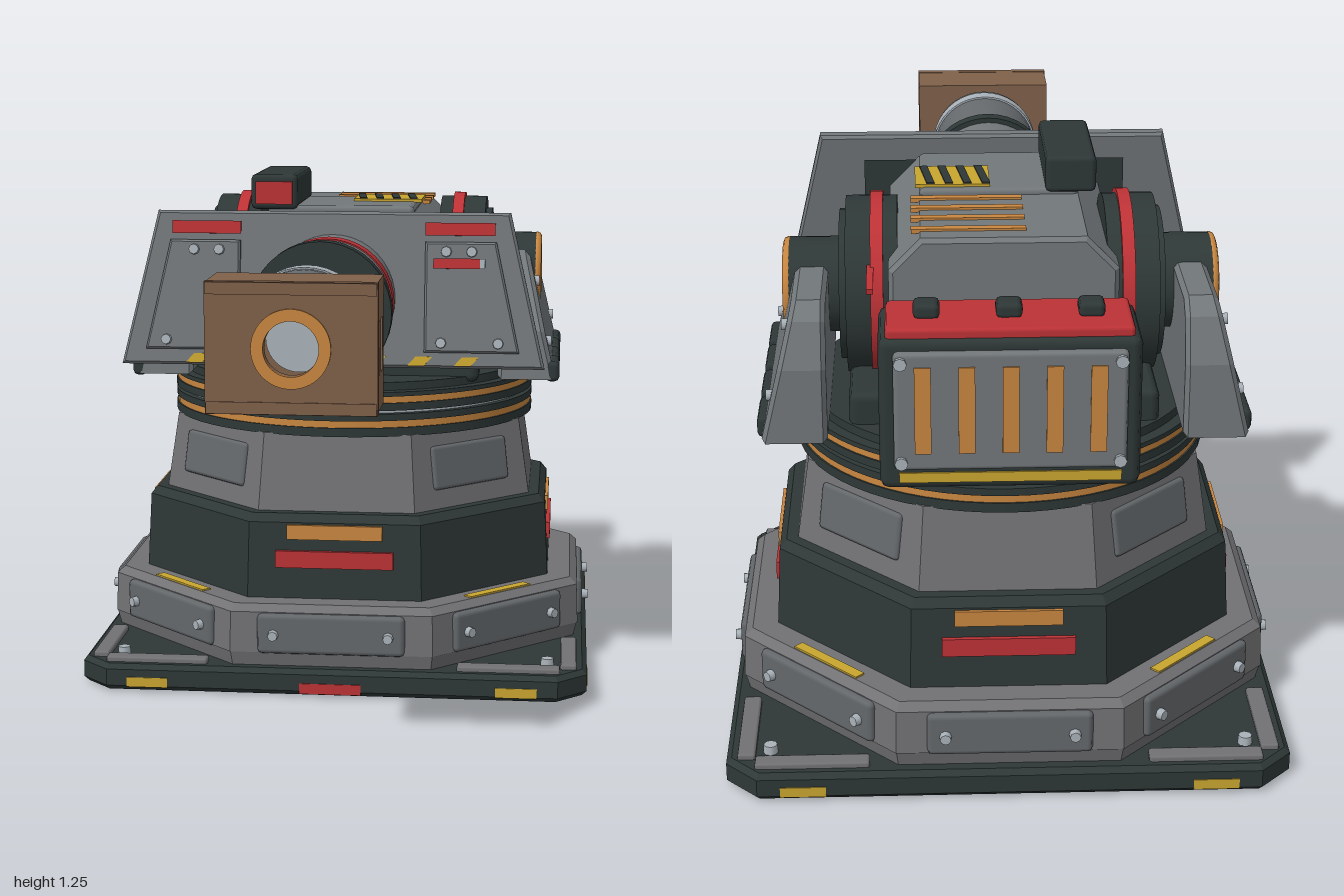
import * as THREE from 'three';
import { RoundedBoxGeometry } from 'three/addons/geometries/RoundedBoxGeometry.js';

const paint = (name, color) => Object.assign(new THREE.MeshStandardMaterial({ color }), { name });
const M = {
  grey: paint('armour grey', 0x73787b), stone: paint('base grey', 0x727275), panel: paint('panel grey', 0x64686b),
  dark: paint('dark green grey', 0x2e3837), red: paint('signal red', 0xbd3236), orange: paint('copper orange', 0xc98740),
  yellow: paint('hazard yellow', 0xcaa630), brown: paint('muzzle brown', 0x80614a), steel: paint('bright steel', 0xaab3ba),
};
const CZ = -0.375; // centre of the pedestal
const AXIS = 0.965; // height of the barrel and trunnions

function add(parent, name, geo, mat, x = 0, y = 0, z = 0) {
  const m = new THREE.Mesh(geo, mat);
  m.name = name;
  m.position.set(x, y, z);
  parent.add(m);
  return m;
}
function flat(geo) {
  const g = geo.index ? geo.toNonIndexed() : geo;
  g.computeVertexNormals();
  return g;
}
const box = (p, name, mat, w, h, d, x, y, z) => add(p, name, new THREE.BoxGeometry(w, h, d), mat, x, y, z);
const softBox = (p, name, mat, w, h, d, x, y, z, r = 0.012) =>
  add(p, name, new RoundedBoxGeometry(w, h, d, 1, r), mat, x, y, z);
const shape = pts => new THREE.Shape(pts.map(([x, y]) => new THREE.Vector2(x, y)));
function extrude(s, depth, bevel = 0) {
  return new THREE.ExtrudeGeometry(s, { depth: depth - 2 * bevel, bevelEnabled: bevel > 0, bevelSize: bevel,
    bevelThickness: bevel, bevelOffset: -bevel, bevelSegments: 1, curveSegments: 24 }).translate(0, 0, bevel);
}
// profile drawn in (z, y), extruded from x0 to x1
const sideExtrude = (s, x0, x1, bevel = 0) => extrude(s, x1 - x0, bevel).rotateY(-Math.PI / 2).translate(x1, 0, 0);
const ring = (ro, ri) => {
  const s = new THREE.Shape().absarc(0, 0, ro, 0, Math.PI * 2);
  s.holes.push(new THREE.Path().absarc(0, 0, ri, 0, Math.PI * 2, true));
  return s;
};
// round parts along z and x
const alongZ = (p, name, mat, z0, z1, r0, r1 = r0, n = 40) => add(p, name,
  new THREE.CylinderGeometry(r1, r0, z1 - z0, n).rotateX(Math.PI / 2), mat, 0, AXIS, (z0 + z1) / 2);
const alongX = (p, name, mat, x0, x1, r) => add(p, name,
  new THREE.CylinderGeometry(r, r, x1 - x0, 40).rotateZ(Math.PI / 2), mat, (x0 + x1) / 2, AXIS, -0.37);
const boltZ = (p, x, y, z) => add(p, 'bolt', new THREE.CylinderGeometry(0.012, 0.014, 0.02, 8).rotateX(Math.PI / 2), M.steel, x, y, z);

// octagonal tier, w = distance from centre to flat
function tier(p, name, mat, y0, y1, w0, w1) {
  const k = 1 / Math.cos(Math.PI / 8);
  return add(p, name, flat(new THREE.CylinderGeometry(w1 * k, w0 * k, y1 - y0, 8).rotateY(Math.PI / 8)), mat, 0, (y0 + y1) / 2, 0);
}

function buildPedestal() {
  const g = new THREE.Group();
  g.name = 'pedestal';
  g.position.z = CZ;
  const a = 0.62, c = 0.55;
  const outline = shape([[-a, -c], [-c, -a], [c, -a], [a, -c], [a, c], [c, a], [-c, a], [-a, c]]);
  add(g, 'basePlate', extrude(outline, 0.065, 0.012).rotateX(-Math.PI / 2), M.dark);
  add(g, 'undersideRing', extrude(ring(0.22, 0.175), 0.004).rotateX(-Math.PI / 2), M.orange, 0, -0.003, 0);
  add(g, 'undersideHub', new THREE.CylinderGeometry(0.08, 0.08, 0.006, 24), M.panel, 0, 0, 0);

  tier(g, 'lowerTierFoot', M.stone, 0.06, 0.1, 0.585, 0.595);
  tier(g, 'lowerTier', M.stone, 0.1, 0.2, 0.597, 0.593);
  tier(g, 'lowerTierBevel', M.stone, 0.2, 0.217, 0.593, 0.575);
  tier(g, 'middleTier', M.dark, 0.215, 0.405, 0.518, 0.508);
  tier(g, 'middleTierBevel', M.dark, 0.405, 0.425, 0.508, 0.492);
  tier(g, 'upperTier', M.stone, 0.42, 0.615, 0.467, 0.438);

  for (let i = 0; i < 8; i++) {
    const f = new THREE.Group();
    f.name = 'tierFace';
    f.rotation.y = i * Math.PI / 4;
    g.add(f);
    softBox(f, 'lowerPanel', M.panel, 0.36, 0.1, 0.03, 0, 0.148, 0.593);
    for (const x of [-0.14, 0.14]) boltZ(f, x, 0.147, 0.613);
    if (i % 2) {
      box(f, 'ledgeStripe', M.yellow, 0.2, 0.006, 0.025, 0, 0.218, 0.56);
      softBox(f, 'upperPanel', M.panel, 0.25, 0.11, 0.02, 0, 0.525, 0.45).rotation.x = -0.15;
      // corner of the base plate
      add(f, 'cornerBolt', new THREE.CylinderGeometry(0.015, 0.017, 0.025, 8), M.steel, 0, 0.072, 0.74);
      for (const s of [-1, 1]) {
        const h = new THREE.Group();
        h.name = 'cornerTrim';
        h.rotation.y = s * Math.PI / 4;
        f.add(h);
        softBox(h, 'cornerRail', M.stone, 0.25, 0.02, 0.04, -s * 0.43, 0.068, 0.575, 0.006);
      }
    } else {
      box(f, 'lightBar', M.orange, 0.235, 0.036, 0.02, 0, 0.382, 0.506);
      box(f, 'redMarker', M.red, 0.29, 0.042, 0.02, 0, 0.315, 0.512);
      for (const x of [-0.45, 0.45]) box(f, 'edgeMark', M.yellow, 0.1, 0.024, 0.008, x, 0.022, 0.618);
      if (i === 0) box(f, 'frontMark', M.red, 0.15, 0.026, 0.008, 0, 0.018, 0.618);
    }
  }
  // turntable bearing, bottom to top
  const discs = [['dark', 0.612, 0.634, 0.467], ['orange', 0.634, 0.651, 0.463], ['dark', 0.651, 0.668, 0.467],
    ['steel', 0.668, 0.676, 0.45], ['dark', 0.676, 0.695, 0.467], ['orange', 0.695, 0.711, 0.463],
    ['dark', 0.711, 0.722, 0.467], ['dark', 0.722, 0.742, 0.44]];
  for (const [m, y0, y1, r] of discs)
    add(g, 'bearingRing', new THREE.CylinderGeometry(r, r, y1 - y0, 64), M[m], 0, (y0 + y1) / 2, 0);
  return g;
}

function buildCradleSide(s) {
  const g = new THREE.Group();
  g.name = s > 0 ? 'leftCradle' : 'rightCradle';
  // side cheek, leaning in towards the top
  const cheek = sideExtrude(shape([[-0.1, 0.73], [-0.11, 0.85], [-0.25, 1.02], [-0.29, 1.035], [-0.66, 1.035],
    [-0.7, 1.0], [-0.73, 0.9], [-0.73, 0.73]]), 0.385, 0.53, 0.01);
  const p = cheek.attributes.position;
  for (let i = 0; i < p.count; i++)
    if (p.getX(i) > 0.45) p.setX(i, p.getX(i) - 0.24 * (p.getY(i) - 0.73));
  cheek.computeVertexNormals();
  if (s < 0) { // mirror, keeping corner order
    for (let i = 0; i < p.count; i++) p.setX(i, -p.getX(i));
    for (let i = 0; i < p.count; i += 3) {
      const a = new THREE.Vector3().fromBufferAttribute(p, i), b = new THREE.Vector3().fromBufferAttribute(p, i + 1);
      p.setXYZ(i, b.x, b.y, b.z);
      p.setXYZ(i + 1, a.x, a.y, a.z);
    }
    cheek.computeVertexNormals();
  }
  add(g, 'cheek', cheek, M.grey);
  for (const z of [-0.165, -0.315, -0.47, -0.625]) softBox(g, 'foot', M.dark, 0.035, 0.05, 0.13, s * 0.522, 0.75, z);
  for (const [z, y] of [[-0.16, 0.82], [-0.67, 0.82], [-0.66, 0.98], [-0.26, 0.96]])
    add(g, 'bolt', new THREE.CylinderGeometry(0.013, 0.013, 0.02, 8).rotateZ(Math.PI / 2), M.steel, s * (0.53 - 0.24 * (y - 0.73)), y, z);
  // trunnion drum, red rim and hub
  const span = (a, b) => s > 0 ? [a, b] : [-b, -a];
  alongX(g, 'drum', M.dark, ...span(0.29, 0.345), 0.2);
  alongX(g, 'drumCap', M.dark, ...span(0.345, 0.36), 0.17);
  alongX(g, 'drumRim', M.red, ...span(0.262, 0.29), 0.21);
  alongX(g, 'drumInner', M.dark, ...span(0.23, 0.262), 0.2);
  alongX(g, 'hub', M.dark, ...span(0.35, 0.475), 0.108);
  const arc = new THREE.TorusGeometry(0.097, 0.012, 8, 32, Math.PI * 1.5).rotateZ(-Math.PI / 4).rotateY(Math.PI / 2);
  add(g, 'hubRing', arc, M.orange, s * 0.476, AXIS, -0.37);
  return g;
}

function buildHousing() {
  const g = new THREE.Group();
  g.name = 'housing';
  softBox(g, 'cradleFloor', M.dark, 0.68, 0.09, 0.6, 0, 0.77, -0.36, 0.02);
  // grey receiver with chamfered edges
  const body = shape([[-0.19, 0.82], [0.19, 0.82], [0.25, 0.88], [0.25, 1.08], [0.18, 1.152], [-0.18, 1.152], [-0.25, 1.08], [-0.25, 0.88]]);
  add(g, 'receiver', extrude(body, 0.62, 0.01), M.grey, 0, 0, -0.615);
  softBox(g, 'topPlate', M.grey, 0.36, 0.03, 0.29, 0, 1.152, -0.165);
  for (const s of [-1, 1]) box(g, 'sideStripe', M.red, 0.008, 0.03, 0.11, s * 0.25, 1.035, -0.125);
  for (const z of [-0.55, -0.475, -0.405, -0.335]) box(g, 'topVent', M.orange, 0.25, 0.01, 0.022, 0.075, 1.152, z);
  // hazard plate on top
  box(g, 'hazardPlate', M.yellow, 0.17, 0.008, 0.14, 0.105, 1.169, -0.225);
  for (let i = 0; i < 4; i++) {
    const x = 0.035 + i * 0.042;
    add(g, 'hazardStripe', extrude(shape([[x, -0.065], [x + 0.018, -0.065], [x + 0.002, 0.065], [x - 0.016, 0.065]]), 0.004)
      .rotateX(-Math.PI / 2), M.dark, 0, 1.172, -0.225);
  }
  // sight box
  softBox(g, 'sightBox', M.dark, 0.115, 0.085, 0.31, -0.163, 1.2, -0.165);
  box(g, 'sightLens', M.red, 0.09, 0.055, 0.008, -0.163, 1.198, -0.009);
  // dark collar narrowing towards the shield
  const collar = new THREE.BoxGeometry(0.62, 0.33, 0.15);
  const p = collar.attributes.position;
  for (let i = 0; i < p.count; i++) if (p.getZ(i) > 0) p.setXYZ(i, p.getX(i) * 0.82, p.getY(i) * 0.7, p.getZ(i));
  collar.computeVertexNormals();
  add(g, 'collar', collar, M.dark, 0, 0.98, 0.065);
  box(g, 'redLever', M.red, 0.015, 0.012, 0.18, 0.29, 1.06, -0.57).rotation.x = -0.1;
  return g;
}

function buildPack() {
  const g = new THREE.Group();
  g.name = 'rearPack';
  box(g, 'packLink', M.dark, 0.4, 0.2, 0.2, 0, 0.86, -0.67);
  softBox(g, 'packBox', M.dark, 0.54, 0.335, 0.215, 0, 0.887, -0.843, 0.02);
  softBox(g, 'packLid', M.red, 0.51, 0.03, 0.175, 0, 1.058, -0.85, 0.01);
  for (const x of [-0.17, 0, 0.17]) softBox(g, 'lidKnob', M.dark, 0.055, 0.035, 0.06, x, 1.085, -0.85);
  softBox(g, 'rearPanel', M.grey, 0.48, 0.26, 0.025, 0, 0.9, -0.953, 0.01);
  for (let i = -2; i <= 2; i++) box(g, 'rearVent', M.orange, 0.034, 0.19, 0.012, i * 0.09, 0.905, -0.963);
  box(g, 'rearStripe', M.yellow, 0.46, 0.022, 0.008, 0, 0.75, -0.951);
  for (const x of [-0.225, 0.225]) for (const y of [0.79, 1.01]) boltZ(g, x, y, -0.966);
  return g;
}

function buildShield() {
  const g = new THREE.Group();
  g.name = 'shield';
  g.position.set(0, 0.8, 0.17);
  g.rotation.x = -0.13;
  add(g, 'shieldPlate', extrude(shape([[-0.505, 0], [0.505, 0], [0.42, 0.368], [-0.42, 0.368]]), 0.035, 0.007), M.grey);
  for (const s of [-1, 1]) {
    const pts = [[0.22, 0.037], [0.445, 0.037], [0.388, 0.298], [0.22, 0.298]].map(([x, y]) => [s * x, y]);
    add(g, 'shieldPanel', extrude(shape(pts), 0.02, 0.005), M.grey, 0, 0, 0.028);
    box(g, 'redStrip', M.red, 0.165, 0.03, 0.008, s * 0.302, 0.328, 0.037);
    for (const [x, y] of [[0.33, 0.275], [0.27, 0.275], [0.395, 0.06], [0.26, 0.06]]) boltZ(g, s * x, y, 0.05);
    for (const x of [0.1, 0.21, 0.32])
      add(g, 'hazardMark', extrude(shape([[-0.03, 0], [0.01, 0], [0.03, 0.022], [-0.01, 0.022]]), 0.006), M.yellow, s * x, 0.005, 0.032);
  }
  box(g, 'redTag', M.red, 0.12, 0.024, 0.008, 0.3, 0.247, 0.051);
  box(g, 'tagEnd', M.steel, 0.012, 0.024, 0.009, 0.356, 0.247, 0.051);
  return g;
}

function buildBarrel() {
  const g = new THREE.Group();
  g.name = 'barrel';
  alongZ(g, 'sleeve', M.grey, 0.1, 0.42, 0.15);
  alongZ(g, 'redBand', M.red, 0.245, 0.295, 0.153);
  alongZ(g, 'sleeveRing', M.dark, 0.405, 0.445, 0.162);
  alongZ(g, 'barrelTube', M.dark, 0.44, 0.64, 0.085);
  for (const z of [0.465, 0.55]) {
    const nut = alongZ(g, 'octagonNut', M.panel, z, z + 0.068, 0.108, 0.108, 8);
    nut.geometry = flat(nut.geometry);
  }
  // rounded muzzle brake
  const prof = [[0.085, 0.61], [0.105, 0.625], [0.133, 0.67], [0.135, 0.76], [0.115, 0.8], [0.1, 0.83]];
  add(g, 'muzzleBrake', new THREE.LatheGeometry(prof.map(([r, z]) => new THREE.Vector2(r, z)), 40).rotateX(Math.PI / 2), M.panel, 0, AXIS, 0);
  alongZ(g, 'steelBand', M.steel, 0.695, 0.74, 0.138);
  // hollow muzzle box with side windows and a front bore
  const t = 0.025, y0 = 0.83, y1 = 1.1;
  box(g, 'muzzleBack', M.brown, 0.35, y1 - y0, 0.015, 0, AXIS, 0.832);
  for (const y of [y0 + t / 2, y1 - t / 2]) box(g, 'muzzlePlate', M.brown, 0.35, t, 0.16, 0, y, 0.908);
  const side = shape([[0.825, y0], [0.985, y0], [0.985, y1], [0.825, y1]]);
  for (const [a, b] of [[0.855, 0.892], [0.92, 0.957]])
    side.holes.push(new THREE.Path([[a, 0.905], [a, 1.017], [b, 1.017], [b, 0.905]].map(([x, y]) => new THREE.Vector2(x, y))));
  add(g, 'muzzleSide', sideExtrude(side, 0.15, 0.175), M.brown);
  add(g, 'muzzleSide', sideExtrude(side, -0.175, -0.15), M.brown);
  const front = shape([[-0.177, -0.136], [0.177, -0.136], [0.177, 0.136], [-0.177, 0.136]]);
  front.holes.push(new THREE.Path().absarc(0, 0, 0.057, 0, Math.PI * 2, true));
  add(g, 'muzzleFront', extrude(front, 0.022), M.brown, 0, AXIS, 0.963);
  add(g, 'boreRing', extrude(ring(0.082, 0.057), 0.008), M.orange, 0, AXIS, 0.982);
  alongZ(g, 'boreEnd', M.steel, 0.835, 0.845, 0.07);
  return g;
}

export function createModel() {
  const model = new THREE.Group();
  model.name = 'turret';
  model.add(buildPedestal(), buildCradleSide(1), buildCradleSide(-1), buildHousing(), buildPack(), buildShield(), buildBarrel());
  return model;
}
